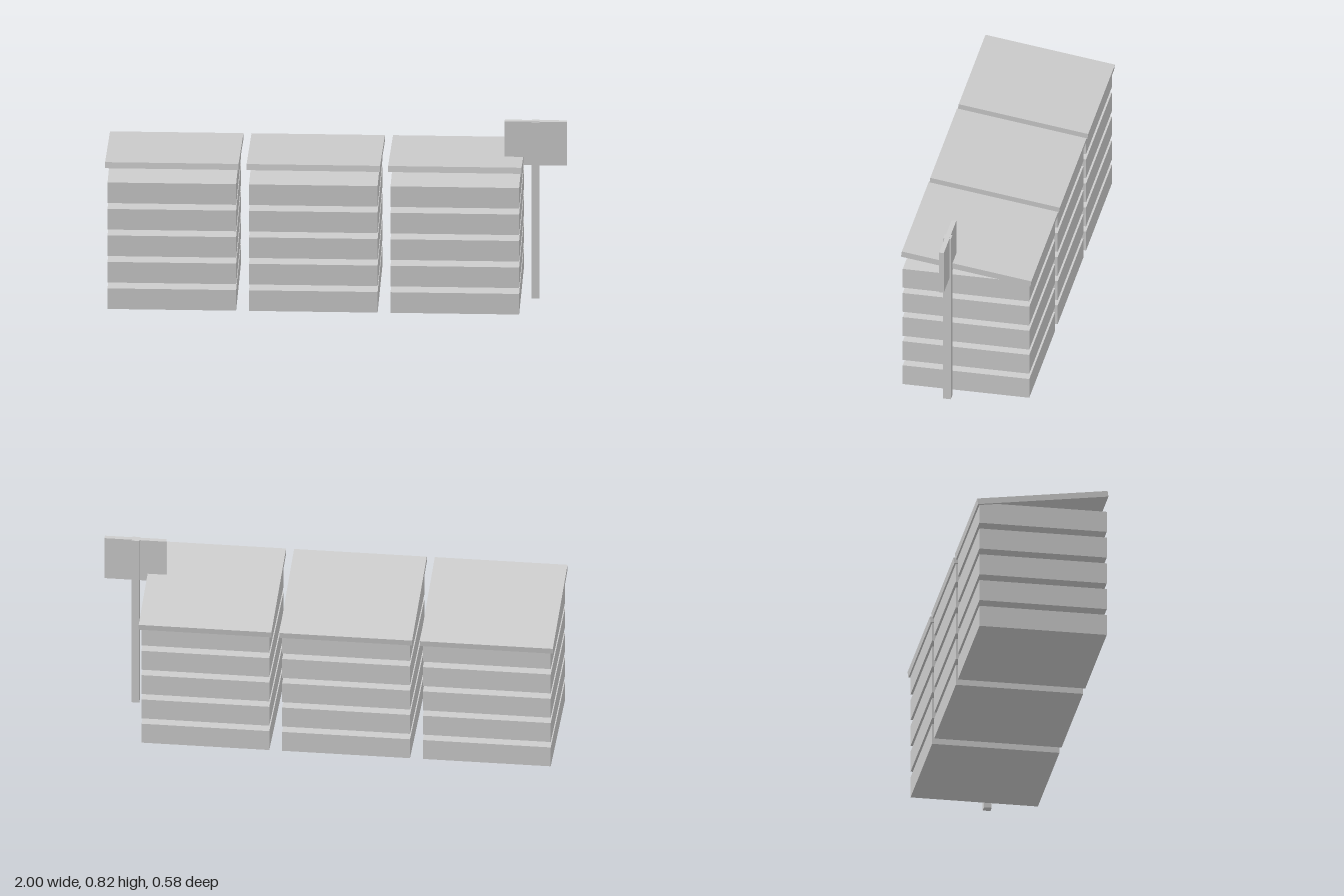
import * as THREE from 'three';

export function createModel() {
  const model = new THREE.Group();
  const grey = new THREE.MeshStandardMaterial({ color: 0xcccccc });
  grey.name = 'light grey';

  const box = (name, parent, [w, h, d], [x, y, z]) => {
    const mesh = new THREE.Mesh(new THREE.BoxGeometry(w, h, d), grey);
    mesh.name = name;
    mesh.position.set(x, y, z);
    parent.add(mesh);
    return mesh;
  };

  // Three bins in a row, each a stack of spaced slabs under a sloping lid
  for (let i = 0; i < 3; i++) {
    const bin = new THREE.Group();
    bin.name = 'bin' + (i + 1);
    bin.position.x = -0.71 + i * 0.615;
    model.add(bin);
    for (let j = 0; j < 5; j++) {
      box('slab' + (j + 1), bin, [0.559, 0.096, 0.561], [0, 0.048 + j * 0.1235, 0.003]);
    }
    // Lid is raised at the front
    box('lid', bin, [0.58, 0.027, 0.58], [0, 0.6315, 0]).rotation.x = -0.14;
  }

  // Signpost beside the last bin, with a blank board
  const sign = new THREE.Group();
  sign.name = 'signpost';
  sign.position.set(0.863, 0, 0.071);
  model.add(sign);
  box('post', sign, [0.034, 0.821, 0.034], [0, 0.4105, 0]);
  box('board', sign, [0.27, 0.203, 0.021], [0.001, 0.72, 0]);

  return model;
}
